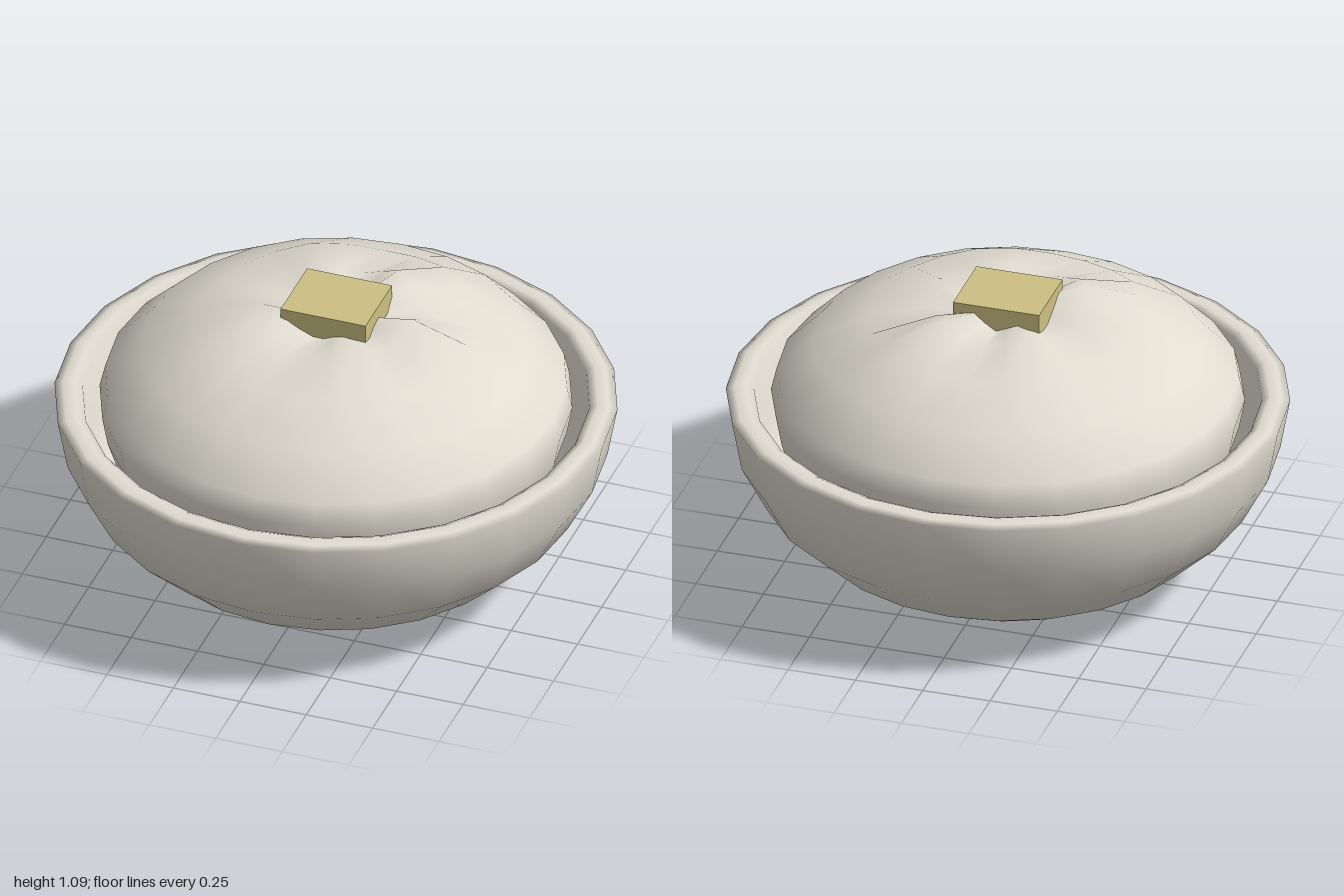
import * as THREE from 'three';

const SIDES = 24;

export function createModel() {
  const group = new THREE.Group();
  const cream = new THREE.MeshStandardMaterial({ color: 0xe0dcd0 });
  cream.name = 'cream';
  const butterYellow = new THREE.MeshStandardMaterial({ color: 0xcdc083 });
  butterYellow.name = 'butter yellow';

  const add = (name, geometry, material, y = 0, z = 0) => {
    const mesh = new THREE.Mesh(geometry, material);
    mesh.name = name;
    mesh.position.set(0, y, z);
    group.add(mesh);
  };

  // Foot: a shallow disc under the bowl
  add('foot', new THREE.CylinderGeometry(0.41, 0.41, 0.03, SIDES), cream, 0.015);

  // Bowl: outer wall, rounded rim, then inner wall
  const profile = [
    [0.4, 0.02], [0.49, 0.022], [0.7, 0.14], [0.87, 0.3], [0.965, 0.48],
    [1, 0.67], [0.97, 0.68], [0.93, 0.685], [0.9, 0.67], [0.86, 0.5],
    [0.79, 0.34], [0.62, 0.19], [0, 0.09],
  ].map(([r, y]) => new THREE.Vector2(r, y));
  add('bowl', new THREE.LatheGeometry(profile, SIDES), cream);

  // Mound: rings around a dented centre, with ridges that fade outwards
  const ridges = [
    0.03, 0.02, -0.01, 0, 0.01, 0, -0.02, -0.02, 0, 0.03, 0.045, 0.02,
    0, -0.02, -0.02, 0, 0.02, 0, -0.02, 0.01, 0.05, 0.03, -0.03, -0.02,
  ];
  // radius, height, strength of the ridges
  const rings = [
    [0.78, 0.44, 0], [0.82, 0.56, 0], [0.84, 0.67, 0], [0.82, 0.755, 0],
    [0.69, 0.885, 0.1], [0.5, 0.985, 0.4], [0.29, 1.033, 1], [0.14, 1.015, 0.8],
  ];
  const positions = [];
  const index = [];
  rings.forEach(([r, y, strength], j) => {
    for (let i = 0; i < SIDES; i++) {
      const a = (i / SIDES) * Math.PI * 2;
      positions.push(r * Math.cos(a), y + strength * ridges[i], r * Math.sin(a));
      const n = (i + 1) % SIDES;
      const p = j * SIDES + i;
      const q = j * SIDES + n;
      if (j < rings.length - 1) {
        index.push(p, p + SIDES, q, q, p + SIDES, q + SIDES);
      } else {
        index.push(p, rings.length * SIDES, q);
      }
    }
  });
  positions.push(0, 1, 0);
  const mound = new THREE.BufferGeometry();
  mound.setAttribute('position', new THREE.Float32BufferAttribute(positions, 3));
  mound.setIndex(index);
  mound.computeVertexNormals();
  add('mound', mound, cream);

  // Butter pat sunk into the top
  add('butter', new THREE.BoxGeometry(0.32, 0.09, 0.275), butterYellow, 1.045, -0.003);

  return group;
}
